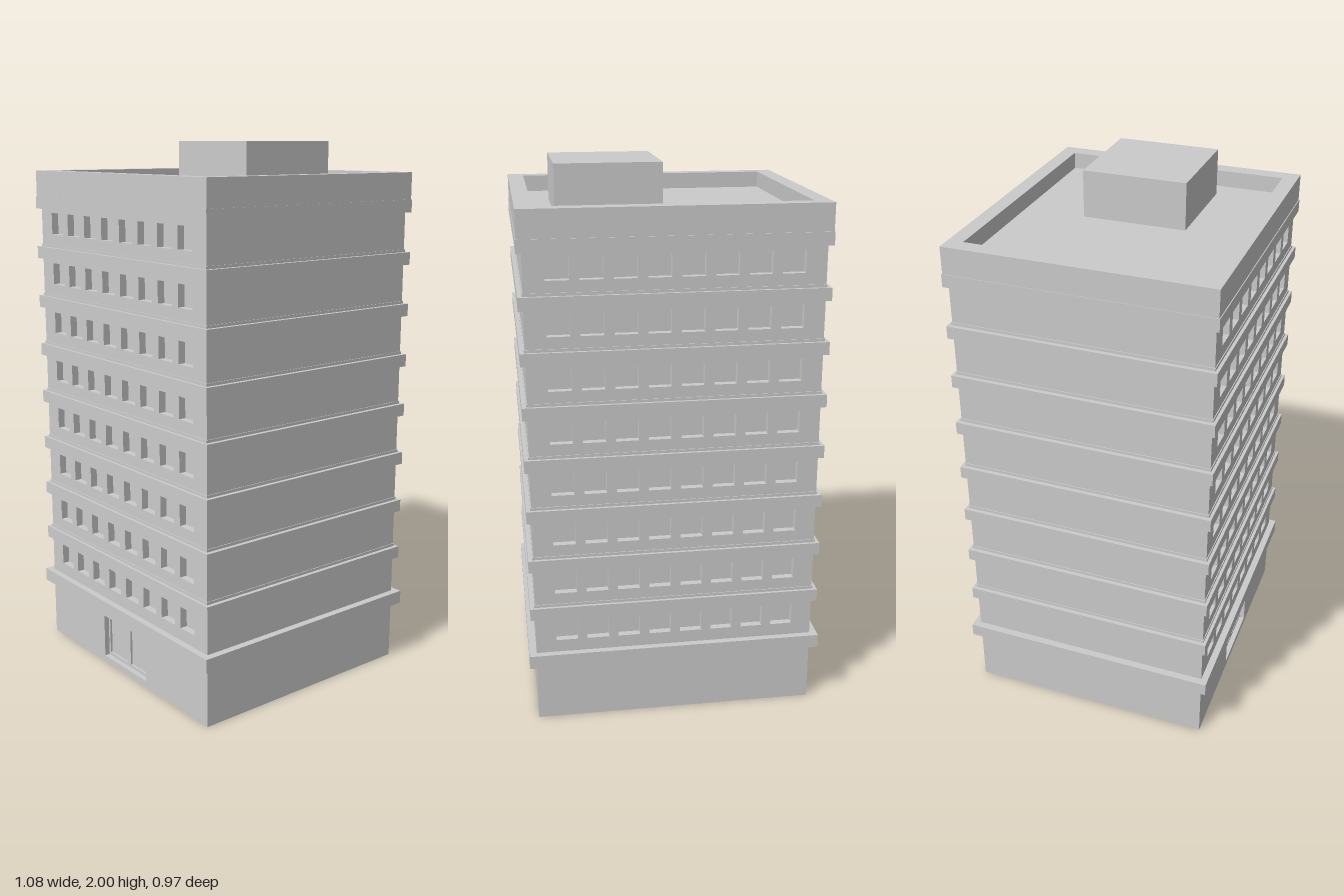
import * as THREE from 'three';

const W = 0.514, D = 0.46;      // half width and half depth of the tower
const RECESS = 0.03;            // depth of window and door openings
const FLOORS = 8, COLUMNS = 8, FLOOR_H = 0.1905;
const ROOF = 1.83, WIN = 0.08;

const material = new THREE.MeshStandardMaterial({ color: 0xcccccc, flatShading: true });

function rect(Type, x0, y0, x1, y1) {
  const path = new Type();
  path.moveTo(x0, y0);
  path.lineTo(x1, y0);
  path.lineTo(x1, y1);
  path.lineTo(x0, y1);
  path.closePath();
  return path;
}

function add(parent, name, geometry) {
  const mesh = new THREE.Mesh(geometry, material);
  mesh.name = name;
  parent.add(mesh);
  return mesh;
}

// Box given by its half width, vertical extent and half depth
function box(parent, name, hx, y0, y1, hz, x = 0, z = 0) {
  const mesh = add(parent, name, new THREE.BoxGeometry(hx * 2, y1 - y0, hz * 2));
  mesh.position.set(x, (y0 + y1) / 2, z);
  return mesh;
}

// Facade wall with real window openings and, on the front, an entrance
function createFacade(name, hasDoor) {
  const facade = new THREE.Group();
  facade.name = name;
  const wall = rect(THREE.Shape, -W, 0, W, ROOF);
  for (let f = 0; f < FLOORS; f++) {
    for (let c = 0; c < COLUMNS; c++) {
      const x = (c - (COLUMNS - 1) / 2) * 0.1145, y = 0.36 + f * FLOOR_H;
      wall.holes.push(rect(THREE.Path, x - WIN / 2, y - WIN / 2, x + WIN / 2, y + WIN / 2));
      box(facade, 'windowPane', WIN / 2, y - WIN / 2, y + WIN / 2, 0.003, x, D - RECESS);
    }
  }
  if (hasDoor) {
    wall.holes.push(rect(THREE.Path, -0.14, 0.025, 0.14, 0.193));
    // Door frame with two glazed leaves
    const frame = rect(THREE.Shape, -0.14, 0.025, 0.14, 0.193);
    for (const s of [-1, 1]) {
      const x = s * 0.07;
      frame.holes.push(rect(THREE.Path, x - 0.06, 0.037, x + 0.06, 0.183));
      box(facade, 'doorPane', 0.06, 0.037, 0.183, 0.002, x, D - RECESS);
    }
    add(facade, 'doorFrame', new THREE.ExtrudeGeometry(frame, { depth: 0.01, bevelEnabled: false }))
      .position.z = D - RECESS;
  }
  add(facade, 'facadeWall', new THREE.ExtrudeGeometry(wall, { depth: RECESS, bevelEnabled: false }))
    .position.z = D - RECESS;
  return facade;
}

export function createModel() {
  const model = new THREE.Group();
  model.name = 'officeTower';

  box(model, 'core', W, 0, ROOF, D - RECESS);
  model.add(createFacade('frontFacade', true));
  const back = createFacade('backFacade', false);
  back.rotation.y = Math.PI;
  model.add(back);

  // Wider band over the ground floor, then a ledge over each storey
  box(model, 'baseBand', 0.541, 0.223, 0.273, 0.485);
  for (let f = 1; f <= FLOORS; f++) {
    const y = 0.223 + f * FLOOR_H;
    box(model, 'floorLedge', 0.532, y, y + 0.046, 0.474);
    if (f < FLOORS) box(model, 'ledgeStrip', W + 0.003, y + 0.046, y + 0.056, D + 0.003);
  }

  // Parapet ring around the sunken roof
  const ring = rect(THREE.Shape, -0.53, -0.471, 0.53, 0.471);
  ring.holes.push(rect(THREE.Path, -0.471, -0.416, 0.471, 0.416));
  const parapet = add(model, 'parapet',
    new THREE.ExtrudeGeometry(ring, { depth: 0.1, bevelEnabled: false }));
  parapet.rotation.x = -Math.PI / 2;
  parapet.position.y = 1.79;

  // Plant room on the roof
  box(model, 'plantRoom', 0.189, ROOF - 0.01, 2, 0.189, 0.197, 0);
  return model;
}
